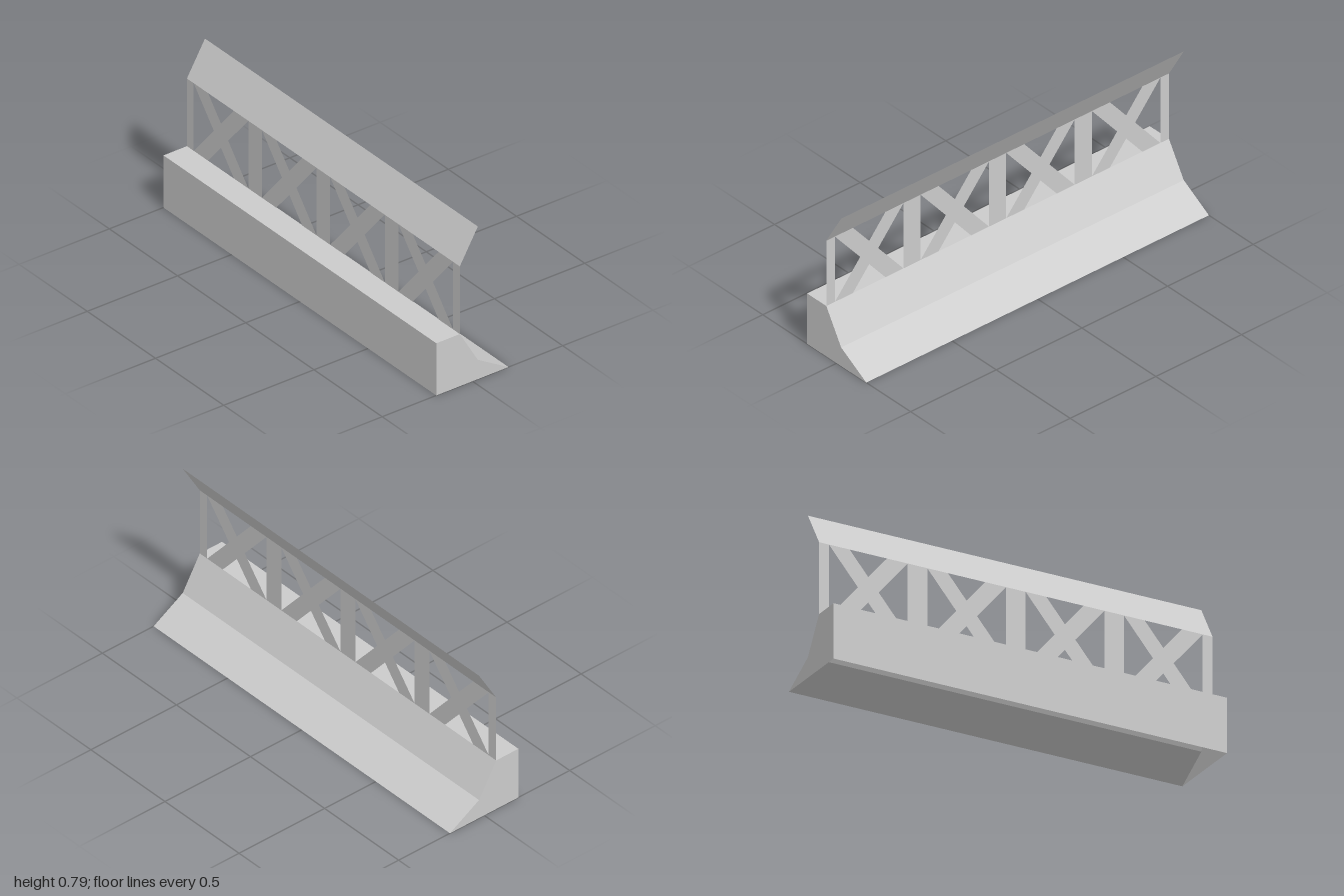
import * as THREE from 'three';

const material = new THREE.MeshStandardMaterial({ color: 0xcccccc, side: THREE.DoubleSide, flatShading: true });
const HALF = 1; // half length along z

function addMesh(parent, name, geometry) {
  const mesh = new THREE.Mesh(geometry, material);
  mesh.name = name;
  parent.add(mesh);
  return mesh;
}

const flat = (points) => new THREE.ShapeGeometry(new THREE.Shape(points.map(([x, y]) => new THREE.Vector2(x, y))));

// Thin sheet that sweeps an open (x, y) profile along the full length
function sheet(profile) {
  const pos = [];
  for (let i = 0; i < profile.length - 1; i++) {
    const a = profile[i], b = profile[i + 1];
    pos.push(...a, HALF, ...b, HALF, ...b, -HALF);
    pos.push(...a, HALF, ...b, -HALF, ...a, -HALF);
  }
  const g = new THREE.BufferGeometry();
  g.setAttribute('position', new THREE.Float32BufferAttribute(pos, 3));
  g.computeVertexNormals();
  return g;
}

export function createModel() {
  const group = new THREE.Group();
  group.name = 'barrierWithFence';

  // Hollow base, open underneath
  const base = new THREE.Group();
  base.name = 'base';
  group.add(base);
  const profile = [[-0.2, 0], [-0.2, 0.27], [-0.07, 0.27], [0.03, 0.1], [0.2, 0]];
  addMesh(base, 'baseShell', sheet(profile));
  addMesh(base, 'frontEnd', flat(profile)).position.z = HALF;
  const back = addMesh(base, 'backEnd', flat(profile.map(([x, y]) => [-x, y])));
  back.rotation.y = Math.PI;
  back.position.z = -HALF;

  // Flat lattice fence standing on the edge of the base top
  const fence = new THREE.Group();
  fence.name = 'latticeFence';
  fence.position.set(-0.07, 0.27, 0);
  fence.rotation.y = Math.PI / 2;
  group.add(fence);
  const h = 0.35, bay = 0.4, w = 0.105;
  const rise = h * (bay / 2 - w) / (bay - w); // height of the notch between brace feet
  const inset = (bay - w) / 2;

  // Posts, half width at the two ends
  for (let i = -2; i <= 2; i++) {
    const l = Math.max(i * 0.5 - 0.05, -HALF), r = Math.min(i * 0.5 + 0.05, HALF);
    addMesh(fence, 'post', flat([[l, 0], [r, 0], [r, h], [l, h]]));
  }

  // Cross braces, one X per bay
  const cross = [
    [0, 0], [w, 0], [bay / 2, rise], [bay - w, 0], [bay, 0], [bay - inset, h / 2],
    [bay, h], [bay - w, h], [bay / 2, h - rise], [w, h], [0, h], [inset, h / 2],
  ];
  for (let i = 0; i < 4; i++) {
    addMesh(fence, 'crossBrace', flat(cross)).position.x = -0.95 + i * 0.5;
  }

  // Solid top panel leaning outwards
  addMesh(group, 'leaningTopPanel', sheet([[-0.07, 0.62], [0.03, 0.79]]));

  return group;
}
